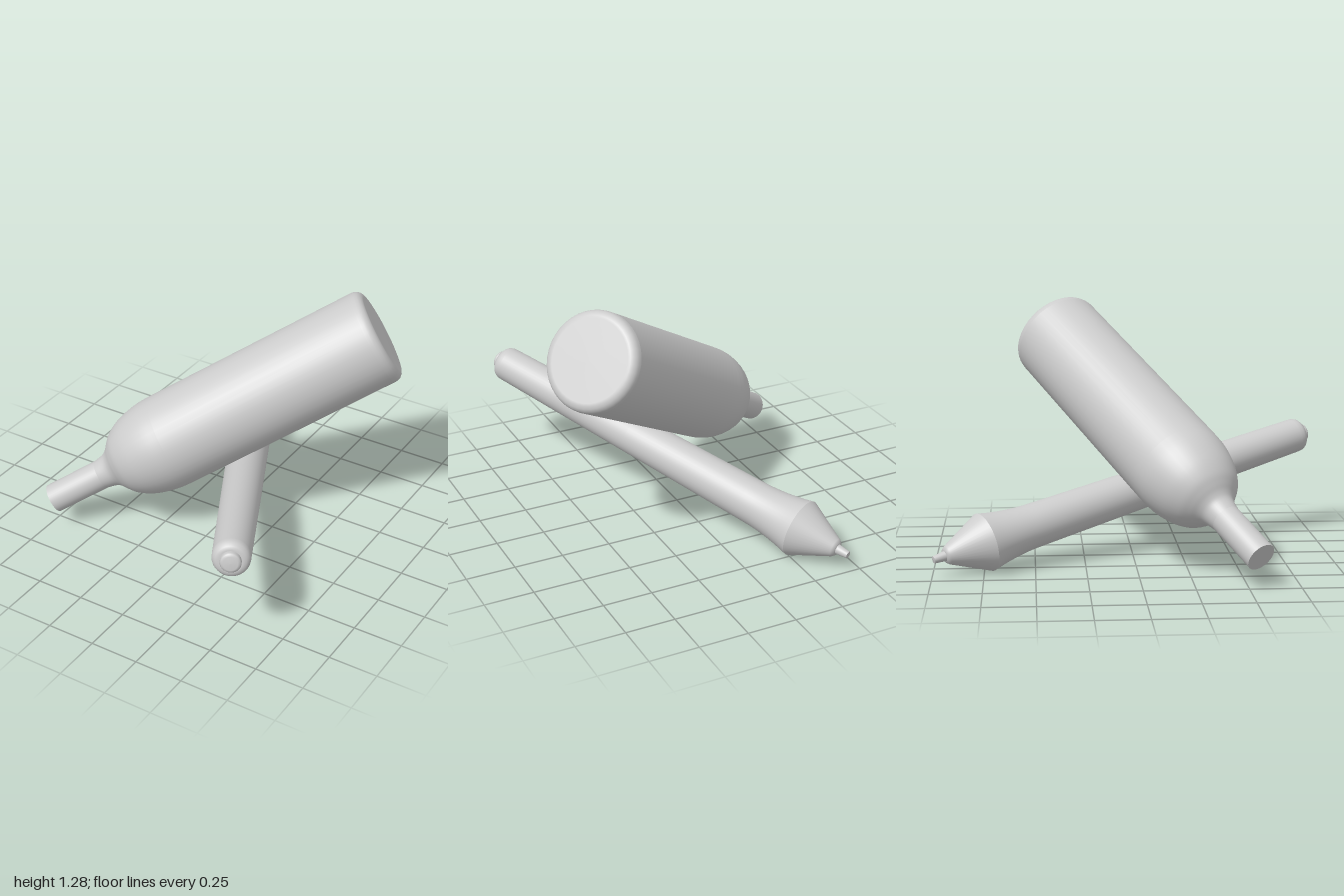
import * as THREE from 'three';

const V2 = (p) => new THREE.Vector2(p[0], p[1]);
const material = new THREE.MeshStandardMaterial({ color: 0xcccccc });

// Turned section from [radius, distance along axis] pairs; curved ones are splined
function turned(name, pairs, curved = false) {
  let pts = pairs.map(V2);
  if (curved) pts = new THREE.SplineCurve(pts).getPoints(pairs.length * 4);
  const mesh = new THREE.Mesh(new THREE.LatheGeometry(pts, 40), material);
  mesh.name = name;
  return mesh;
}

// Group whose +y axis runs from one point to another
function alongAxis(name, from, to, parts) {
  const group = new THREE.Group();
  group.name = name;
  const a = new THREE.Vector3(...from);
  const dir = new THREE.Vector3(...to).sub(a).normalize();
  group.position.copy(a);
  group.quaternion.setFromUnitVectors(new THREE.Vector3(0, 1, 0), dir);
  group.add(...parts);
  return group;
}

export function createModel() {
  const model = new THREE.Group();
  model.name = 'bottleAndPen';

  // Bottle, from its base to the mouth
  model.add(alongAxis('bottle', [0.636, 1.092, -0.382], [-0.737, 0.155, 0.555], [
    turned('bottleBase', [[0, 0], [0.2, 0], [0.212, 0.002], [0.226, 0.008], [0.237, 0.019], [0.243, 0.033], [0.245, 0.05]]),
    turned('bottleBody', [[0.245, 0.05], [0.245, 1.2]]),
    turned('bottleShoulder', [[0.245, 1.2], [0.242, 1.27], [0.23, 1.34], [0.208, 1.41], [0.175, 1.47],
      [0.14, 1.507], [0.108, 1.535], [0.088, 1.565], [0.076, 1.62]], true),
    turned('bottleNeck', [[0.076, 1.62], [0.075, 1.908]]),
    turned('bottleMouth', [[0.075, 1.908], [0, 1.908]]),
  ]));

  // Pen, from its push button to the writing tip
  model.add(alongAxis('pen', [0.6, 0.54, 0.98], [-0.435, 0.095, -0.99], [
    turned('penButton', [[0, 0], [0.034, 0.001], [0.045, 0.006], [0.05, 0.015], [0.05, 0.05]]),
    turned('penEnd', [[0, 0.03], [0.055, 0.03], [0.072, 0.035], [0.084, 0.047], [0.09, 0.062], [0.091, 0.08]]),
    turned('penBarrel', [[0.091, 0.08], [0.102, 0.95], [0.111, 1.68]]),
    turned('penGrip', [[0.111, 1.68], [0.113, 1.76], [0.12, 1.84], [0.132, 1.92], [0.147, 1.99]], true),
    turned('penCone', [[0.147, 1.99], [0.047, 2.195], [0.036, 2.208], [0.02, 2.21]]),
    turned('penTip', [[0.026, 2.2], [0.018, 2.27]]),
    turned('penTipEnd', [[0.018, 2.27], [0, 2.272]]),
  ]));

  return model;
}
